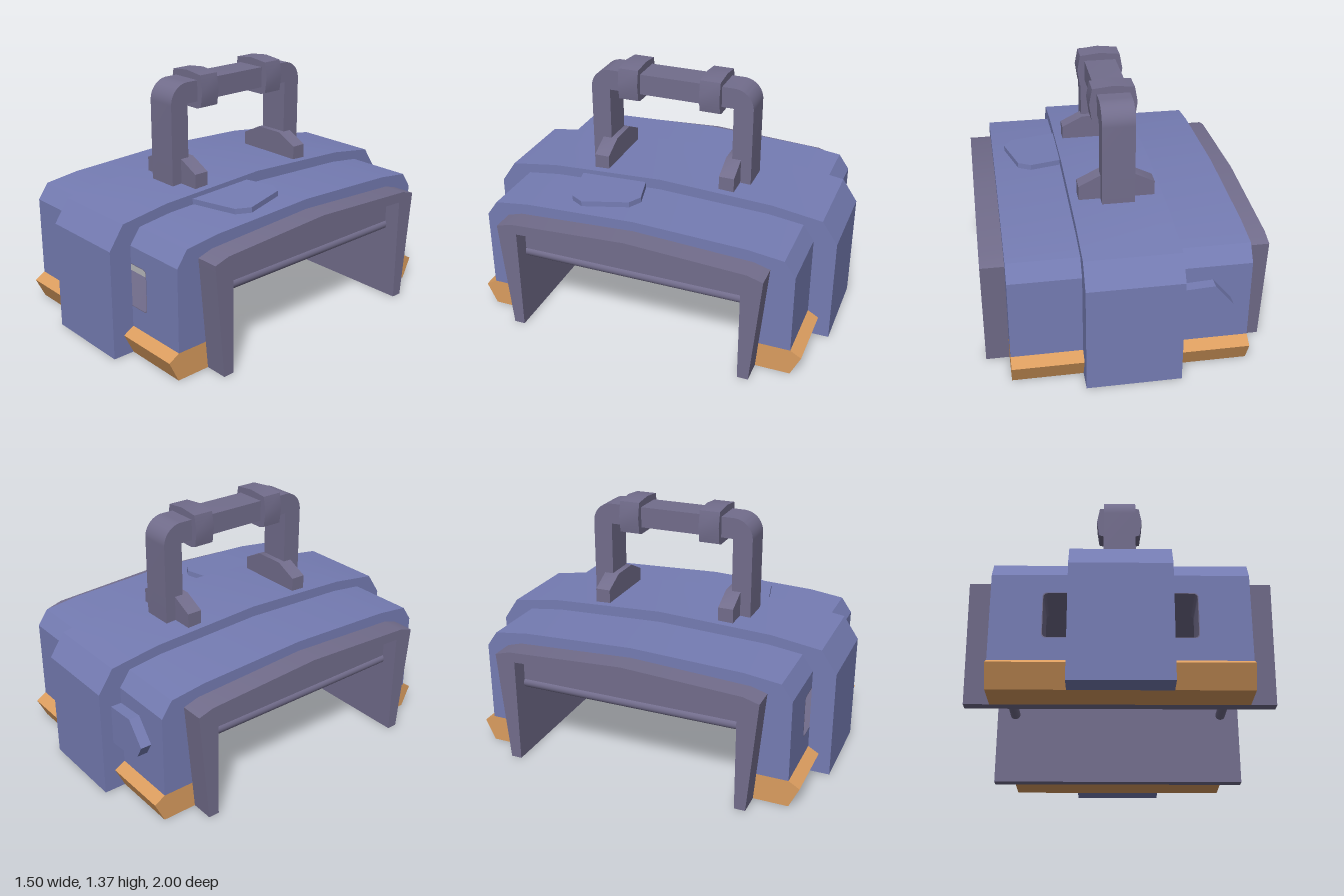
import * as THREE from 'three';
import { toCreasedNormals } from 'three/addons/utils/BufferGeometryUtils.js';

const blue = new THREE.MeshStandardMaterial({ color: 0x757cb3 });
const grey = new THREE.MeshStandardMaterial({ color: 0x726d8c });
const orange = new THREE.MeshStandardMaterial({ color: 0xdb9d5f });
const greyOpen = grey;
blue.name = 'shellBlue';
grey.name = 'frameGrey';
orange.name = 'skidOrange';
greyOpen.side = THREE.DoubleSide;

const shapeOf = (pts) => new THREE.Shape(pts.map(([a, b]) => new THREE.Vector2(a, b)));
const mirrorPts = (pts) => pts.map(([a, b]) => [-a, b]).reverse();

// Extrusion along z, centred on z = 0
function extrudeZ(shape, depth) {
  const g = new THREE.ExtrudeGeometry(shape, { depth, bevelEnabled: false, curveSegments: 8 });
  return g.translate(0, 0, -depth / 2);
}
// Side profile given as (z, y), extruded along x
const extrudeX = (shape, width) => extrudeZ(shape, width).rotateY(-Math.PI / 2);

export function createModel() {
  const model = new THREE.Group();
  const add = (name, geometry, material) => {
    const mesh = new THREE.Mesh(toCreasedNormals(geometry, 0.5), material);
    mesh.name = name;
    model.add(mesh);
    return mesh;
  };

  // Half profiles (z, y), from the lower front to the ridge
  const linerOuter = [[0.745, 0.62], [0.66, 0.645], [0, 0.68]];
  const bodyOuter = [[0.875, 0.6], [0.815, 0.685], [0.62, 0.71], [0, 0.735]];
  const bandOuter = [[1, 0], [1, 0.6], [0.915, 0.725], [0.64, 0.765], [0, 0.795]];
  const arc = (half) => [...half, ...mirrorPts(half).slice(1)];

  // Window opening shared by the front walls
  const windowPath = (Type, inset = 0) => {
    const w = 0.375 - inset, b = 0.265 + inset, t = 0.505 - inset, c = 0.025;
    const p = new Type();
    p.moveTo(-w + c, b);
    p.lineTo(w - c, b);
    p.quadraticCurveTo(w, b, w, b + c);
    p.lineTo(w, t - c);
    p.quadraticCurveTo(w, t, w - c, t);
    p.lineTo(-w + c, t);
    p.quadraticCurveTo(-w, t, -w, t - c);
    p.lineTo(-w, b + c);
    p.quadraticCurveTo(-w, b, -w + c, b);
    return p;
  };
  const wallShape = (w, y0, y1) => {
    const s = shapeOf([[-w, y0], [w, y0], [w, y1], [-w, y1]]);
    s.holes.push(windowPath(THREE.Path));
    return s;
  };

  // Inner liner: roof and back leg, then the front leg with its window
  add('linerRoof', extrudeX(shapeOf([
    [0.7426, 0.59], ...arc(linerOuter), [-0.69, 0], [-0.63, 0], [-0.63, 0.59], [0, 0.62], [0.63, 0.59],
  ]), 1.5), grey);
  const leg = extrudeZ(wallShape(0.75, 0, 0.59), 1);
  const p = leg.attributes.position;
  for (let i = 0; i < p.count; i++) {
    p.setZ(i, p.getZ(i) < 0 ? 0.63 : 0.69 + 0.0887 * p.getY(i));
  }
  leg.computeVertexNormals();
  add('linerFrontLeg', leg, grey);

  // Outer body: roof and back wall, then the front wall with its window
  add('bodyRoof', extrudeX(shapeOf([
    ...arc(bodyOuter), [-0.875, 0.15], [-0.7, 0.15], ...mirrorPts(linerOuter).reverse(),
    ...linerOuter.slice(0, 2).reverse(), [0.74, 0.6],
  ]), 1.25), blue);
  add('bodyFrontWall', extrudeZ(wallShape(0.625, 0.15, 0.6), 0.185).translate(0, 0, 0.7825), blue);

  // Grey lining of the window tunnel
  const ring = windowPath(THREE.Shape);
  ring.holes.push(windowPath(THREE.Path, 0.004));
  add('windowTunnel', extrudeZ(ring, 0.244).translate(0, 0, 0.753), greyOpen);

  // Raised centre band
  const bandInner = [[0.875, 0], ...bodyOuter];
  add('centreBand', extrudeX(shapeOf([...arc(bandOuter), ...arc(bandInner).reverse()]), 0.5), blue);

  // Orange skids along the front and back feet
  const skid = [[0.69, 0], [0.88, 0], [0.935, 0.115], [0.875, 0.15], [0.703, 0.15]];
  add('frontSkid', extrudeX(shapeOf(skid), 1.25), orange);
  add('backSkid', extrudeX(shapeOf(mirrorPts(skid)), 1.25), orange);

  // Hanging rails under the roof on both sides
  for (const s of [-1, 1]) {
    add('railPlate', new THREE.BoxGeometry(0.04, 0.18, 1.27).translate(s * 0.64, 0.53, 0), grey);
    add('railRod', new THREE.CylinderGeometry(0.03, 0.03, 1.27, 16)
      .rotateX(Math.PI / 2).translate(s * 0.64, 0.43, 0), grey);
  }

  // Carrying handle with rounded outer corners
  const h = new THREE.Shape();
  h.moveTo(0.47, 0.76);
  h.lineTo(0.47, 1.215);
  h.absarc(0.36, 1.215, 0.11, 0, Math.PI / 2, false);
  h.lineTo(-0.36, 1.325);
  h.absarc(-0.36, 1.215, 0.11, Math.PI / 2, Math.PI, false);
  h.lineTo(-0.47, 0.76);
  h.lineTo(-0.36, 0.76);
  h.lineTo(-0.36, 1.21);
  h.lineTo(0.36, 1.21);
  h.lineTo(0.36, 0.76);
  add('handle', extrudeX(h, 0.175), grey);

  // Handle collars and feet
  const collar = [[0.085, 1.17], [0.115, 1.18], [0.128, 1.27], [0.112, 1.355], [0, 1.367]];
  const foot = [[0.205, 0.76], [0.205, 0.855], [0.085, 0.915]];
  for (const s of [-1, 1]) {
    add('handleCollar', extrudeZ(shapeOf([...arc(collar)]), 0.115).translate(0, 0, s * 0.235), grey);
    add('handleFoot', extrudeZ(shapeOf([...foot, ...mirrorPts(foot)]), 0.085)
      .translate(0, 0, s * 0.368), grey);
  }

  // Raised cover on the roof, following its slope
  const cover = shapeOf([[0.24, -0.47], [0.51, -0.405], [0.555, -0.33], [0.49, -0.08], [0.42, -0.04], [0.24, -0.085]]);
  add('roofCover', extrudeZ(cover, 0.03).rotateX(-Math.PI / 2 + 0.04).translate(0, 0.752, 0), blue);

  // Raised cover on the back wall
  const backCover = shapeOf([[-0.24, 0.51], [-0.42, 0.52], [-0.52, 0.4], [-0.48, 0.33], [-0.4, 0.3], [-0.24, 0.29]]);
  add('backCover', extrudeZ(backCover, 0.07).translate(0, 0, -0.9), blue);

  return model;
}
